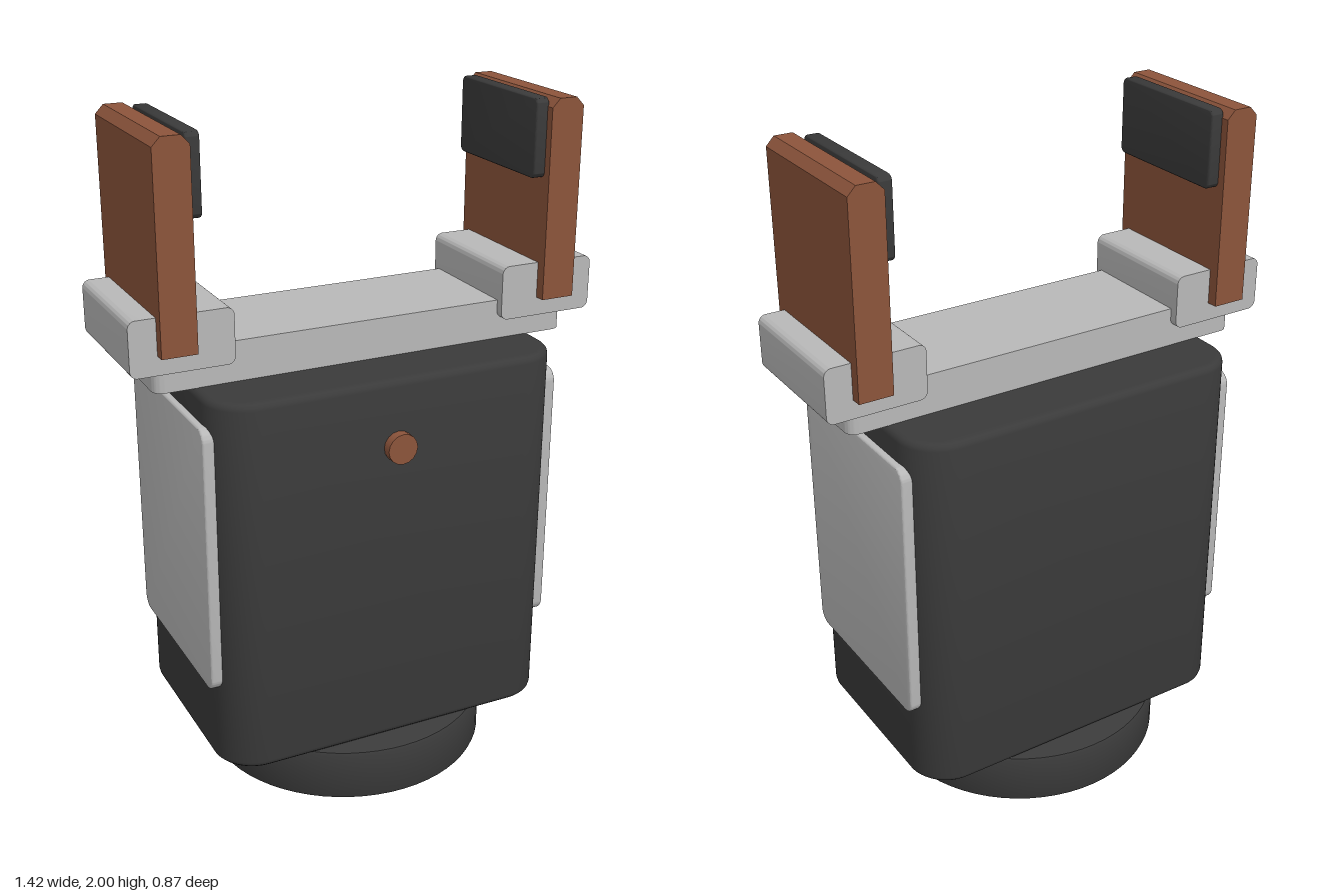
import * as THREE from 'three';
import { toCreasedNormals } from 'three/addons/utils/BufferGeometryUtils.js';

// Rounded rectangle outline centred on the origin
function roundedRect(w, h, r) {
  const s = new THREE.Shape();
  const x = w / 2, y = h / 2;
  s.moveTo(-x + r, -y);
  s.lineTo(x - r, -y);
  s.absarc(x - r, -y + r, r, -Math.PI / 2, 0);
  s.lineTo(x, y - r);
  s.absarc(x - r, y - r, r, 0, Math.PI / 2);
  s.lineTo(-x + r, y);
  s.absarc(-x + r, y - r, r, Math.PI / 2, Math.PI);
  s.lineTo(-x, -y + r);
  s.absarc(-x + r, -y + r, r, Math.PI, Math.PI * 1.5);
  return s;
}

// Slab of w x h with corner radius r, extruded along z and centred
function slab(w, h, depth, r, bevel = 0) {
  const g = new THREE.ExtrudeGeometry(roundedRect(w - 2 * bevel, h - 2 * bevel, r - bevel), {
    depth: depth - 2 * bevel,
    bevelEnabled: bevel > 0,
    bevelSize: bevel,
    bevelThickness: bevel,
    bevelSegments: 3,
    curveSegments: 8,
  });
  g.translate(0, 0, -(depth - 2 * bevel) / 2);
  return toCreasedNormals(g, 0.7);
}

export function createModel() {
  const charcoal = new THREE.MeshStandardMaterial({ color: 0x3a3a3a });
  charcoal.name = 'charcoal';
  const silver = new THREE.MeshStandardMaterial({ color: 0xb8b8b8 });
  silver.name = 'silver';
  const copper = new THREE.MeshStandardMaterial({ color: 0x8c543b });
  copper.name = 'copper';

  const model = new THREE.Group();
  model.name = 'gripper';
  const add = (name, geometry, material, x, y, z) => {
    const mesh = new THREE.Mesh(geometry, material);
    mesh.name = name;
    mesh.position.set(x, y, z);
    model.add(mesh);
    return mesh;
  };

  // Round mounting flange with softened rims
  const flangeProfile = [[0, 0], [0.42, 0], [0.429, 0.004], [0.433, 0.013],
    [0.433, 0.152], [0.429, 0.161], [0.42, 0.165], [0, 0.165]]
    .map(([x, y]) => new THREE.Vector2(x, y));
  add('flange', toCreasedNormals(new THREE.LatheGeometry(flangeProfile, 64), 0.6), charcoal, 0, 0, 0);

  // Main housing, rounded in plan
  const housing = slab(1.064, 0.718, 1.138, 0.125, 0.02).rotateX(-Math.PI / 2);
  add('housing', housing, charcoal, 0, 0.734, 0);

  // Guide rail across the top
  const rail = slab(1.276, 0.35, 0.118, 0.03).rotateX(-Math.PI / 2);
  add('rail', rail, silver, 0, 1.361, 0);

  // Indicator button on the front
  const button = new THREE.CylinderGeometry(0.045, 0.045, 0.03, 16).rotateX(Math.PI / 2);
  add('button', button, copper, 0, 1.108, 0.373);

  // Finger cross-section with chamfered tip
  const fingerShape = new THREE.Shape([
    [-0.051, 0], [0.051, 0], [0.051, 0.555], [0.027, 0.58], [-0.027, 0.58], [-0.051, 0.555],
  ].map(([x, y]) => new THREE.Vector2(x, y)));
  const finger = new THREE.ExtrudeGeometry(fingerShape, { depth: 0.466, bevelEnabled: false })
    .translate(0, 0, -0.233);

  const sidePlate = slab(0.58, 0.81, 0.04, 0.04, 0.005).rotateY(Math.PI / 2);
  const carriage = slab(0.297, 0.16, 0.4, 0.022);
  const pad = slab(0.416, 0.226, 0.04, 0.018, 0.005).rotateY(Math.PI / 2);

  // Mirrored jaws and side covers
  for (const [side, label] of [[1, 'left'], [-1, 'right']]) {
    add(label + 'SidePlate', sidePlate, silver, side * 0.531, 0.818, 0);
    add(label + 'Carriage', carriage, silver, side * 0.5625, 1.445, 0);
    add(label + 'Finger', finger, copper, side * 0.582, 1.42, 0);
    add(label + 'Pad', pad, charcoal, side * 0.516, 1.887, 0);
  }
  return model;
}
